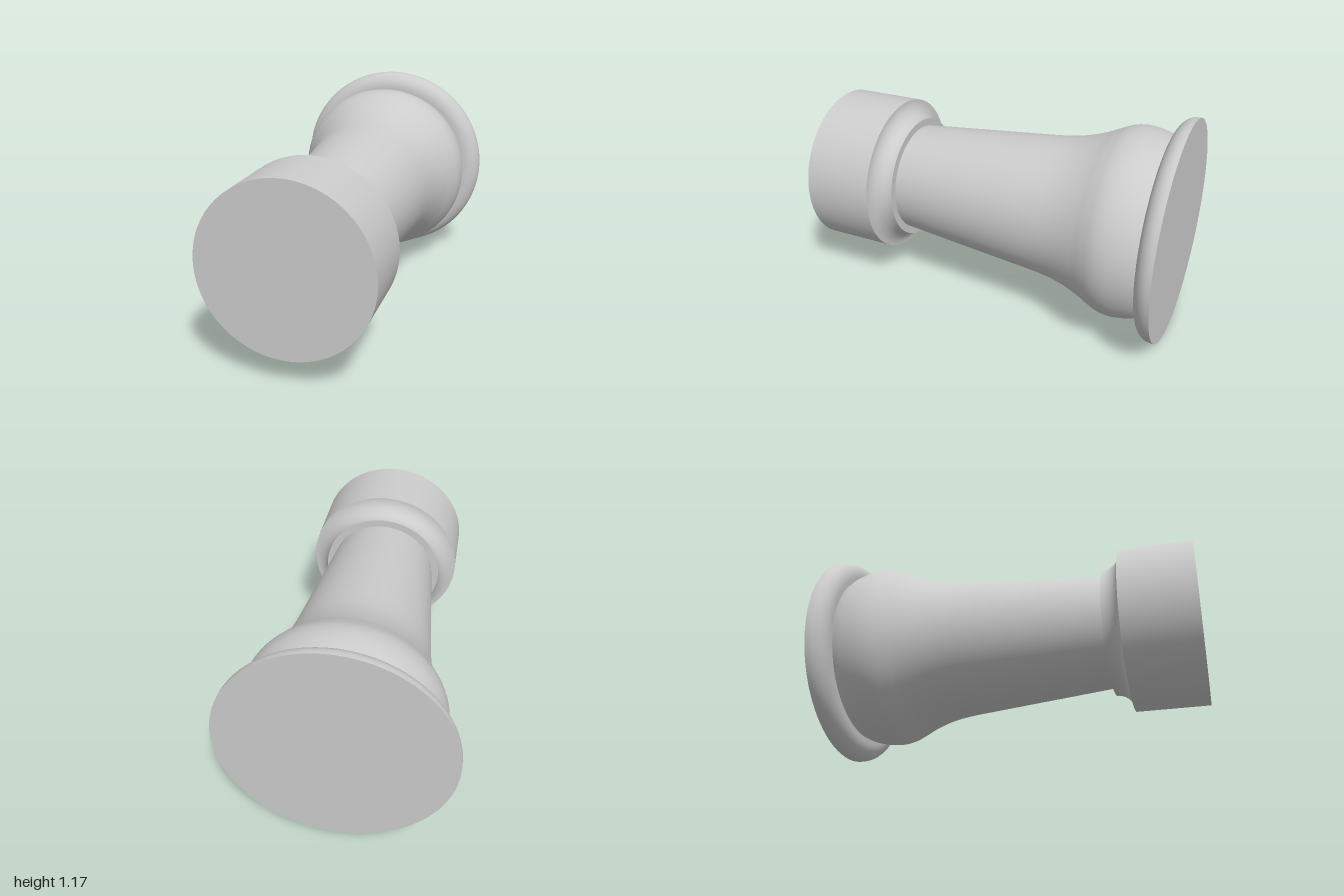
import * as THREE from 'three';

const AXIS_HEIGHT = 0.586;
const SEGMENTS = 96;

export function createModel() {
  const group = new THREE.Group();
  const material = new THREE.MeshStandardMaterial({ color: 0xcccccc });

  // Turns a smooth run of [z, radius] points about the long axis, listed back to front
  const turn = (parent, name, profile) => {
    const points = profile.map(([z, r]) => new THREE.Vector2(r, z));
    const geometry = new THREE.LatheGeometry(points, SEGMENTS).rotateX(Math.PI / 2);
    const mesh = new THREE.Mesh(geometry, material);
    mesh.name = name;
    parent.add(mesh);
  };
  const part = (name) => {
    const g = new THREE.Group();
    g.name = name;
    g.position.y = AXIS_HEIGHT;
    group.add(g);
    return g;
  };
  // Elliptical quarter arc of [z, radius] points
  const arc = (z, r, dz, dr, from, to, n = 14) =>
    Array.from({ length: n + 1 }, (_, i) => {
      const a = from + ((to - from) * i) / n;
      return [z + dz * Math.cos(a), r + dr * Math.sin(a)];
    });

  // Base flange with a rounded front edge
  const flange = part('baseFlange');
  turn(flange, 'flangeBack', [[-1, 0], [-1, 0.585]]);
  turn(flange, 'flangeRim', [[-1, 0.585], ...arc(-0.985, 0.495, 0.08, 0.09, Math.PI / 2, 0)]);
  turn(flange, 'flangeFront', [[-0.905, 0.495], [-0.905, 0.4]]);

  // Bulb flowing into a tapered stem
  const body = part('body');
  const curve = new THREE.SplineCurve([
    [-0.905, 0.467], [-0.86, 0.488], [-0.8, 0.503], [-0.74, 0.508], [-0.68, 0.499],
    [-0.62, 0.474], [-0.56, 0.445], [-0.47, 0.412], [-0.38, 0.39], [-0.28, 0.376],
  ].map(([z, r]) => new THREE.Vector2(z, r)));
  const bulb = curve.getPoints(48).map((p) => [p.x, p.y]);
  turn(body, 'bulbAndStem', [...bulb, [-0.1, 0.359], [0.515, 0.301]]);

  // Cap: shelf, concave collar, drum and flat end
  const cap = part('cap');
  turn(cap, 'collarShelf', [[0.515, 0.28], [0.515, 0.342]]);
  turn(cap, 'collarCove', arc(0.515, 0.437, 0.097, 0.095, -Math.PI / 2, 0));
  turn(cap, 'drum', [[0.612, 0.437], [1, 0.437]]);
  turn(cap, 'drumEnd', [[1, 0.437], [1, 0]]);

  return group;
}
